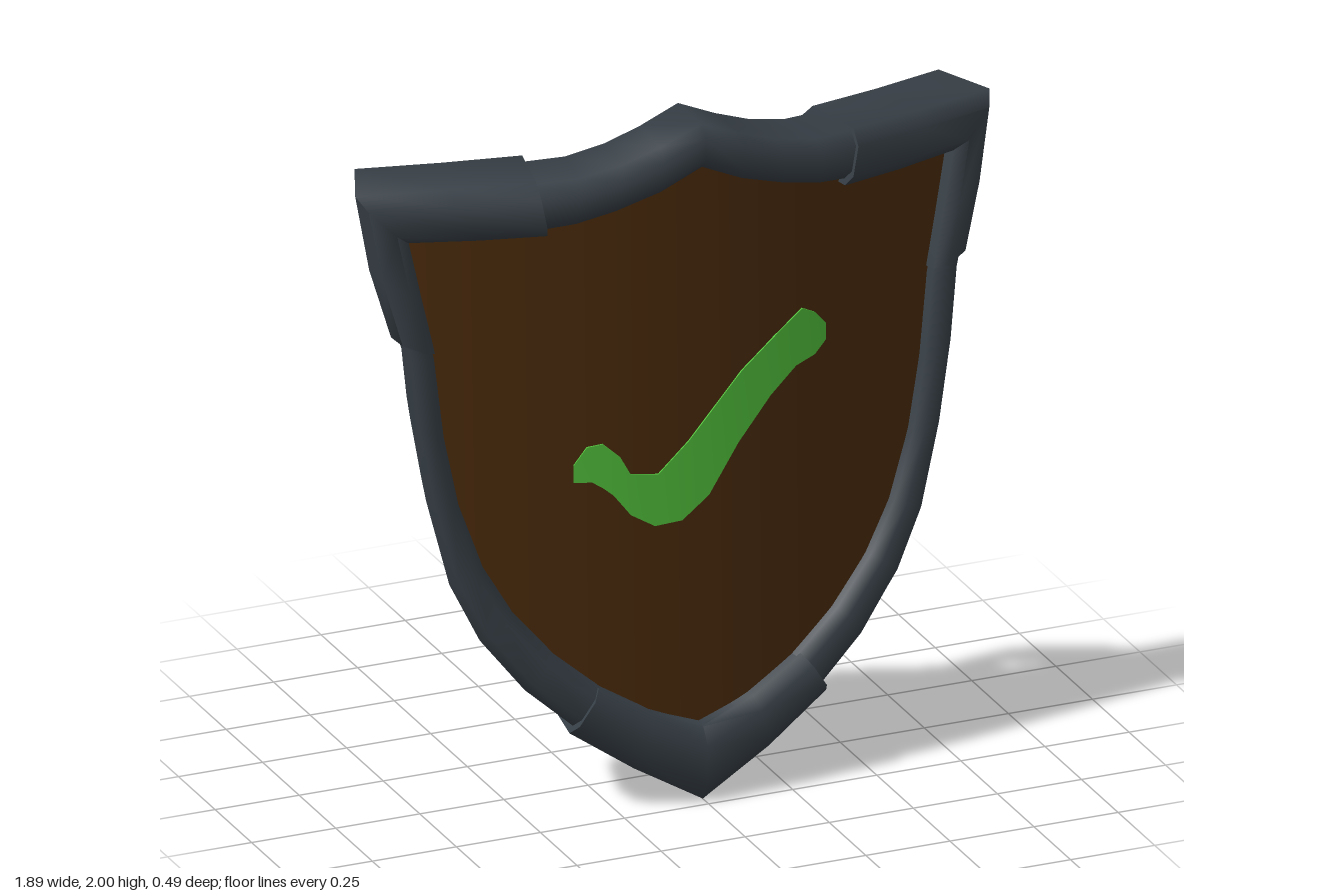
import * as THREE from 'three';
import { toCreasedNormals } from 'three/addons/utils/BufferGeometryUtils.js';

const mat = (name, color) => {
  const m = new THREE.MeshStandardMaterial({ color });
  m.name = name;
  return m;
};

// Curved shield space: x, y as seen from the front, d = distance along the surface normal
function bend(x, y, d) {
  const slope = -0.45 * x, len = Math.hypot(1, slope);
  const nx = -slope / len, nz = 1 / len;
  return [x + (d - 0.08) * nx, y, 0.12 - 0.225 * x * x + d * nz];
}

// Skin a list of equal-sized rings; open lofts get end caps
function loft(rings, closed = false, crease = 1.1) {
  const n = rings[0].length, pos = rings.flat(2), idx = [];
  const spans = closed ? rings.length : rings.length - 1;
  for (let i = 0; i < spans; i++) {
    const a = i * n, b = ((i + 1) % rings.length) * n;
    for (let j = 0; j < n; j++) {
      const k = (j + 1) % n;
      idx.push(a + j, b + j, b + k, a + j, b + k, a + k);
    }
  }
  if (!closed) {
    const e = (rings.length - 1) * n;
    for (let j = 1; j < n - 1; j++) idx.push(0, j, j + 1, e, e + j + 1, e + j);
  }
  // turn the faces outward if the enclosed volume is negative
  const v = (i) => new THREE.Vector3().fromArray(pos, i * 3);
  let volume = 0;
  for (let i = 0; i < idx.length; i += 3) volume += v(idx[i]).dot(v(idx[i + 1]).cross(v(idx[i + 2])));
  if (volume < 0) idx.reverse();
  const g = new THREE.BufferGeometry();
  g.setAttribute('position', new THREE.Float32BufferAttribute(pos, 3));
  g.setIndex(idx);
  return toCreasedNormals(g, crease);
}

// Band between outer and inner outline pairs; section points are [t across, d]
const band = (pairs, section, closed) => loft(pairs.map(([ox, oy, ix, iy]) =>
  section.map(([t, d]) => bend(ox + (ix - ox) * t, oy + (iy - oy) * t, d))), closed);
const bar = (front, back) => [[0, -0.72 * back], [0, 0.72 * front], [0.25, front], [0.78, front],
  [1, 0.75 * front], [1, -0.75 * back], [0.78, -back], [0.25, -back]];
const plate = (d0, d1, t0 = 0, t1 = 1) => [[t0, d0], [t0, d1], [t1, d1], [t1, d0]];
const flip = (pairs) => pairs.map(([a, b, c, d]) => [-a, b, -c, d]).reverse();

// Half outline from top centre to bottom tip: outer x, y, inner x, y
const half = [
  [0, 2, 0, 1.875], [0.12, 1.95, 0.12, 1.82], [0.23, 1.912, 0.25, 1.78],
  [0.35, 1.886, 0.36, 1.755], [0.5, 1.88, 0.47, 1.745], [0.91, 1.845, 0.81, 1.735],
  [0.87, 1.6, 0.775, 1.55], [0.82, 1.4, 0.74, 1.38], [0.8, 1.2, 0.715, 1.15],
  [0.76, 0.96, 0.675, 0.94], [0.7, 0.71, 0.61, 0.75], [0.62, 0.54, 0.53, 0.61],
  [0.5, 0.385, 0.42, 0.48], [0.36, 0.26, 0.28, 0.36], [0.2, 0.15, 0.15, 0.28], [0, 0.04, 0, 0.225],
];
const outline = [...half, ...flip(half).slice(1, -1)];
const corner = [[0.47, 1.89, 0.44, 1.73], [0.7, 1.882, 0.62, 1.73],
  [0.94, 1.868, 0.806, 1.73], [0.905, 1.65, 0.772, 1.56], [0.85, 1.45, 0.738, 1.4]];
const tipHalf = [[0.38, 0.25, 0.3, 0.375], [0.2, 0.125, 0.15, 0.283], [0, 0.005, 0, 0.22]];
const tip = [...tipHalf, ...flip(tipHalf).slice(1)];

// Check mark: upper x, y, lower x, y
const check = [
  [-0.362, 1.03, -0.362, 0.98], [-0.325, 1.08, -0.31, 0.975], [-0.28, 1.085, -0.28, 0.955],
  [-0.23, 1.04, -0.25, 0.93], [-0.2, 0.985, -0.2, 0.865], [-0.12, 0.975, -0.13, 0.823],
  [-0.03, 1.06, -0.05, 0.828], [0.04, 1.14, 0.03, 0.89], [0.13, 1.24, 0.12, 1.03],
  [0.23, 1.32, 0.22, 1.15], [0.32, 1.385, 0.3, 1.22], [0.36, 1.365, 0.36, 1.24],
  [0.395, 1.325, 0.395, 1.275],
];

// Height of the inner outline at a given x
function heightAt(points, x) {
  for (let i = 0; i < points.length - 1; i++) {
    const [, , x0, y0] = points[i], [, , x1, y1] = points[i + 1];
    if (x >= Math.min(x0, x1) && x <= Math.max(x0, x1)) return y0 + (y1 - y0) * (x - x0) / (x1 - x0);
  }
  return points[0][3];
}

// Thin curved board made of upright columns
function boardGeometry() {
  const pairs = [];
  for (let i = -20; i <= 20; i++) {
    const x = i / 20 * 0.809, a = Math.abs(x);
    const top = heightAt(half.slice(0, 6), a) + 0.02, bottom = heightAt(half.slice(5), a) - 0.02;
    pairs.push([x * 1.02, top, x * 1.02, bottom]);
  }
  return band(pairs, plate(0.045, 0.06));
}

// Arched strap with flat feet: y, z, half width
function strapGeometry() {
  const arm = [[0.595, 0, 0.045], [0.55, 0, 0.083], [0.46, 0, 0.083], [0.4, -0.045, 0.077],
    [0.29, -0.128, 0.075], [0.16, -0.202, 0.075], [0.06, -0.23, 0.075]];
  const path = [...arm, ...arm.map(([y, z, w]) => [-y, z, w]).reverse()];
  const th = 0.026;
  return loft(path.map(([y, z, w], i) => {
    const p = path[Math.max(i - 1, 0)], q = path[Math.min(i + 1, path.length - 1)];
    const len = Math.hypot(q[0] - p[0], q[1] - p[1]);
    const ny = (q[1] - p[1]) / len, nz = -(q[0] - p[0]) / len;
    return [[1, -0.4], [1, 0.4], [0.7, 1], [-0.7, 1], [-1, 0.4], [-1, -0.4], [-0.7, -1], [0.7, -1]]
      .map(([u, v]) => [u * w, y + ny * v * th, z + nz * v * th]);
  }));
}

export function createModel() {
  const metal = mat('dark metal', 0x373f46);
  const wood = mat('brown wood', 0x4b2b0c);
  const green = mat('green paint', 0x52c23c);
  const model = new THREE.Group();
  model.name = 'shield';
  const add = (name, geometry, material, parent = model) => {
    const m = new THREE.Mesh(geometry, material);
    m.name = name;
    parent.add(m);
    return m;
  };

  // Board and painted check mark on both faces
  add('board', boardGeometry(), wood);
  add('frontCheckMark', band(check, plate(0.058, 0.065)), green);
  add('backCheckMark', band(check, plate(0.04, 0.047)), green);

  // Metal frame, stepped on the inside, with thicker corner and tip guards
  add('rim', band(outline, bar(0.112, 0.112), true), metal);
  add('rearStep', band(outline, plate(-0.06, 0.03, 0.8, 1.13), true), metal);
  add('rearLip', band(outline, plate(0, 0.04, 0.8, 1.27), true), metal);
  add('leftCornerGuard', band(corner, bar(0.122, 0.145)), metal);
  add('rightCornerGuard', band(flip(corner), bar(0.122, 0.145)), metal);
  add('tipGuard', band(tip, bar(0.125, 0.125)), metal);

  // Arm strap and smaller hand grip on the back, pinned to the board
  const strap = strapGeometry();
  const rivet = new THREE.SphereGeometry(0.036, 12, 8);
  const pin = new THREE.CylinderGeometry(0.02, 0.02, 1, 8).rotateX(Math.PI / 2).translate(0, 0, 0.5);
  const addHandle = (name, x, y, z, turn, scale) => {
    const g = new THREE.Group();
    g.name = name;
    g.position.set(x, y, z);
    g.rotation.y = turn;
    g.scale.set(...scale);
    add('strap', strap, metal, g);
    for (const s of [1, -1]) {
      add('rivet', rivet, metal, g).position.set(0, s * 0.48, -0.025);
      const p = add('pin', pin, metal, g);
      p.position.y = s * 0.48;
      p.scale.z = 0.14 / scale[2];
    }
    model.add(g);
  };
  addHandle('armStrap', 0.215, 1.09, 0.015, 0.2, [1, 1, 1]);
  addHandle('handGrip', -0.325, 1.055, 0.01, -0.2, [0.55, 0.53, 0.52]);
  return model;
}
